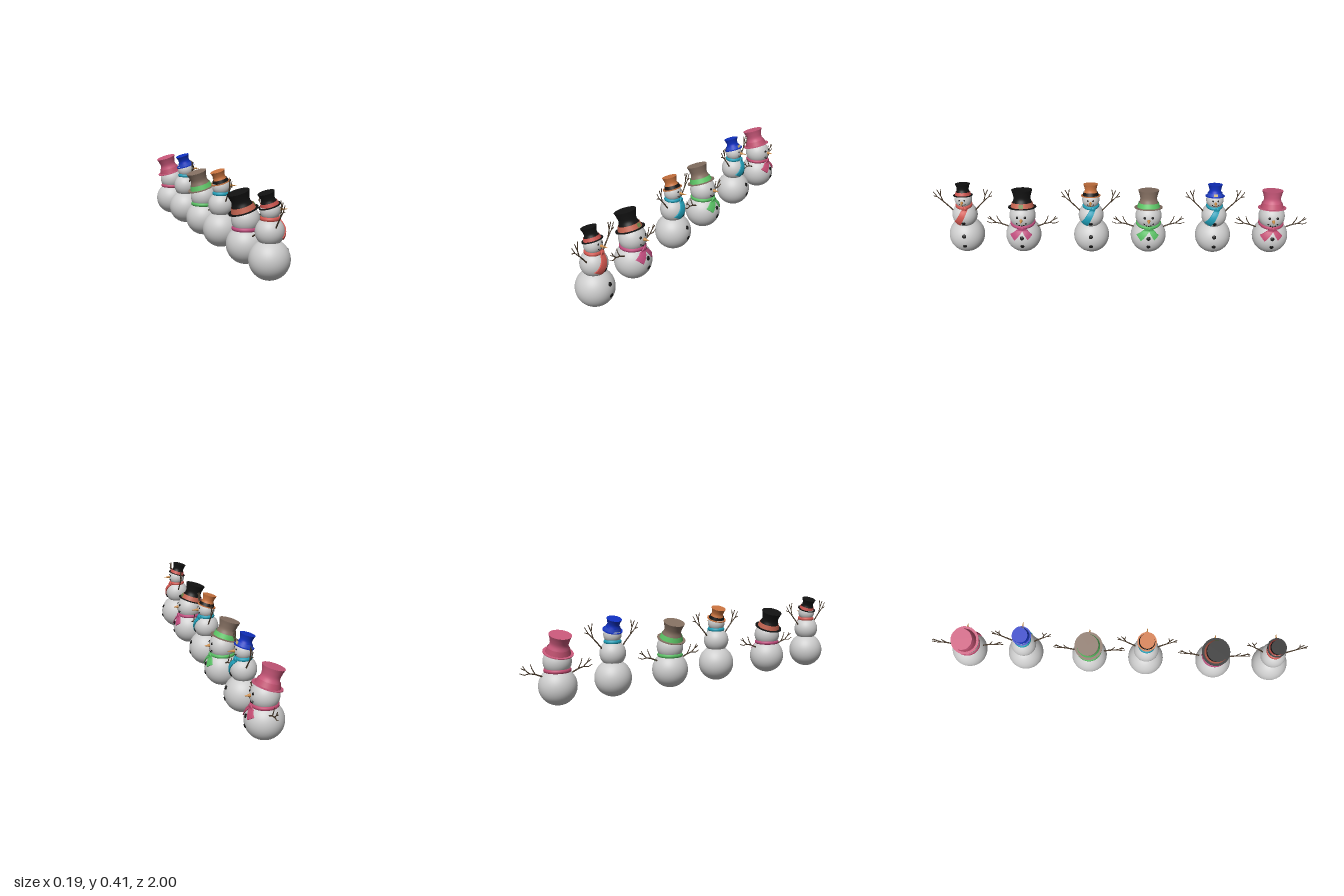
import * as THREE from 'three';

const V = (x, y, z = 0) => new THREE.Vector3(x, y, z);
const mat = (color, extra = {}) => new THREE.MeshStandardMaterial({ color, ...extra });
const snow = mat(0xcccccc), coal = mat(0x151515), bark = mat(0x4a3b2c), carrot = mat(0xc98a45);

function add(parent, name, geo, material, pos = V(0, 0)) {
  const m = new THREE.Mesh(geo, material);
  m.name = name;
  m.position.copy(pos);
  parent.add(m);
  return m;
}

// Tapered twig between two points
function twig(parent, a, b, r0, r1) {
  const d = b.clone().sub(a);
  const m = add(parent, 'twig', new THREE.CylinderGeometry(r1, r0, d.length(), 7), bark, a.clone().add(b).multiplyScalar(0.5));
  m.quaternion.setFromUnitVectors(V(0, 1), d.normalize());
}

// Front depth of the stacked balls at (x, y)
const depth = (balls, x, y) => Math.max(...balls.map(([cy, r]) =>
  Math.sqrt(Math.max(0, r * r - x * x - (y - cy) ** 2))));

// Flat round lump of coal lying on a ball
function lump(parent, name, balls, x, y, r, flat = 0.4) {
  const z = depth(balls, x, y);
  const ball = balls.find(([cy, br]) => Math.abs(Math.hypot(x, y - cy, z) - br) < 1e-6);
  const m = add(parent, name, new THREE.SphereGeometry(r, 14, 10), coal, V(x, y, z));
  m.scale.z = flat;
  m.quaternion.setFromUnitVectors(V(0, 0, 1), V(x, y - ball[0], z).normalize());
}

// Scarf tail: a slab swept from a to b and draped over the balls
function tail(parent, balls, a, b, w0, w1, color) {
  const geo = new THREE.BoxGeometry(1, 1, 1, 6, 14, 1);
  const p = geo.attributes.position;
  const dir = new THREE.Vector2(b[0] - a[0], b[1] - a[1]).normalize();
  for (let i = 0; i < p.count; i++) {
    const t = 0.5 - p.getY(i), s = p.getX(i) * (w0 + (w1 - w0) * t);
    const x = a[0] + (b[0] - a[0]) * t - dir.y * s;
    const y = a[1] + (b[1] - a[1]) * t + dir.x * s;
    p.setXYZ(i, x, y, depth(balls, x, y) + 0.003 + p.getZ(i) * 0.006);
  }
  geo.computeVertexNormals();
  add(parent, 'scarfTail', geo, mat(color, { side: THREE.DoubleSide }));
}

// Flared top hat tilted backwards, resting on its brim
function hat(parent, s, c) {
  const g = new THREE.Group();
  g.name = 'hat';
  g.position.copy(s.hatPos);
  g.rotation.x = -0.3;
  parent.add(g);
  const { brim, base, waist, top, height: h } = s.hat;
  const side = new THREE.CatmullRomCurve3([V(base, 0), V((base + waist) / 2, h * 0.25), V(waist, h * 0.5), V((waist + top) / 2 - 0.001, h * 0.78), V(top, h)])
    .getPoints(16).map(p => new THREE.Vector2(p.x, p.y));
  add(g, 'hatCrown', new THREE.LatheGeometry(side, 40), mat(c.hat, { side: THREE.DoubleSide }));
  const lid = add(g, 'hatTop', new THREE.CircleGeometry(top, 40), mat(c.hat), V(0, h));
  lid.rotation.x = -Math.PI / 2;
  add(g, 'hatBrim', new THREE.CylinderGeometry(brim, brim, 0.004, 40), mat(c.brim));
  const bandTop = h * 0.27;
  add(g, 'hatBand', new THREE.CylinderGeometry((base + waist) / 2 + 0.002, base + 0.002, bandTop, 40, 1, true),
    mat(c.band, { side: THREE.DoubleSide }), V(0, bandTop / 2 + 0.002));
  if (c.buckle) {
    const b = add(g, 'hatBuckle', new THREE.BoxGeometry(0.022, bandTop * 0.8, 0.003), mat(c.buckle), V(0, bandTop / 2 + 0.002, base));
    b.rotation.x = -0.25;
  }
}

const TALL = {
  balls: [[0.095, 0.095], [0.222, 0.067], [0.317, 0.046]],
  neck: { y: 0.281, R: 0.034, r: 0.011 },
  tails: [[[0.015, 0.283], [-0.036, 0.192], 0.026, 0.036], [[0.012, 0.28], [-0.012, 0.235], 0.02, 0.026]],
  knot: V(0.012, 0.28, 0.044),
  buttons: [0.075, 0.133, 0.2],
  nose: [0.319, 0.04, 0.0075],
  hatPos: V(0, 0.339, -0.002),
  hat: { brim: 0.051, base: 0.041, waist: 0.031, top: 0.039, height: 0.062 },
  arm: [[[0.055, 0.245], [0.085, 0.28], [0.108, 0.305], [0.118, 0.34], [0.112, 0.38]],
    [[0.108, 0.305], [0.135, 0.332], [0.155, 0.365]],
    [[0.118, 0.34], [0.134, 0.375]], [[0.135, 0.332], [0.155, 0.338]]],
};
const SHORT = {
  balls: [[0.095, 0.095], [0.217, 0.07]],
  neck: { y: 0.174, R: 0.057, r: 0.011 },
  tails: [[[0.004, 0.175], [-0.052, 0.122], 0.018, 0.034], [[0.004, 0.175], [0.042, 0.126], 0.018, 0.03]],
  knot: V(0.003, 0.172, 0.068),
  buttons: [0.075, 0.125],
  nose: [0.223, 0.03, 0.009],
  hatPos: V(0, 0.261, -0.012),
  hat: { brim: 0.075, base: 0.06, waist: 0.045, top: 0.056, height: 0.094 },
  arm: [[[0.08, 0.15], [0.115, 0.165], [0.145, 0.172], [0.165, 0.19], [0.178, 0.212]],
    [[0.145, 0.172], [0.172, 0.168], [0.195, 0.178]],
    [[0.165, 0.19], [0.188, 0.202]], [[0.115, 0.165], [0.132, 0.195], [0.138, 0.215]]],
};

// One snowman facing +z
function snowman(s, c) {
  const g = new THREE.Group();
  g.name = 'snowman';
  s.balls.forEach(([y, r], i) => add(g, i === s.balls.length - 1 ? 'head' : 'bodyBall',
    new THREE.SphereGeometry(r, 48, 32), snow, V(0, y)));
  s.buttons.forEach(y => lump(g, 'button', s.balls, 0, y, 0.011));

  // Face
  const [hy, hr] = s.balls.at(-1);
  for (const side of [-1, 1]) lump(g, 'eye', s.balls, side * hr * 0.3, hy + hr * 0.3, hr * 0.1, 0.6);
  for (let i = -2; i <= 2; i++) lump(g, 'mouthCoal', s.balls, i * hr * 0.17, hy - hr * (0.42 - 0.05 * i * i), hr * 0.065, 0.6);
  const [ny, len, nr] = s.nose;
  const profile = [[0, -0.2], [1, -0.15], [0.9, 0.15], [0.5, 0.45], [0.3, 0.75], [0, 1]]
    .map(([r, t]) => new THREE.Vector2(r * nr, t * len));
  add(g, 'nose', new THREE.LatheGeometry(profile, 16), carrot, V(0, ny, hr - 0.001)).rotation.x = Math.PI / 2;

  // Scarf ring, knot and tails
  const { y, R, r } = s.neck;
  const ring = add(g, 'scarf', new THREE.TorusGeometry(R, r, 12, 48), mat(c.scarf), V(0, y));
  ring.rotation.x = Math.PI / 2;
  add(g, 'scarfKnot', new THREE.SphereGeometry(0.012, 16, 12), mat(c.scarf), s.knot).scale.set(1, 1, 0.6);
  const draped = [...s.balls, [y, R + r]];
  s.tails.forEach(t => tail(g, draped, ...t, c.scarf));

  // Branching stick arms on both sides
  for (const side of [-1, 1]) {
    const arm = new THREE.Group();
    arm.name = side > 0 ? 'leftArm' : 'rightArm';
    g.add(arm);
    s.arm.forEach((path, b) => {
      for (let i = 0; i + 1 < path.length; i++) {
        const w = (b ? 0.0028 : 0.004) - i * 0.0005;
        twig(arm, V(side * path[i][0], path[i][1], 0.005), V(side * path[i + 1][0], path[i + 1][1], 0.005), w, w - 0.0006);
      }
    });
  }
  hat(g, s, c);
  return g;
}

export function createModel() {
  const root = new THREE.Group();
  root.name = 'snowmanRow';
  const row = [
    [TALL, 0.845, { hat: 0x121212, brim: 0x121212, band: 0xc9524c, scarf: 0xd0564f }],
    [SHORT, 0.537, { hat: 0x121212, brim: 0x121212, band: 0xc4634f, scarf: 0xbd4a7b, buckle: 0x6f8a4a }],
    [TALL, 0.168, { hat: 0xc9733f, brim: 0xc9733f, band: 0x121212, scarf: 0x1f9cb5 }],
    [SHORT, -0.14, { hat: 0x857062, brim: 0x857062, band: 0x5cc465, scarf: 0x55bb60 }],
    [TALL, -0.49, { hat: 0x1030c0, brim: 0x1030c0, band: 0x2444c8, scarf: 0x1f9cb5, buckle: 0xc8b070 }],
    [SHORT, -0.8, { hat: 0xc9587a, brim: 0xc9587a, band: 0xc0506f, scarf: 0xc04a70 }],
  ];
  for (const [shape, z, colors] of row) {
    const man = snowman(shape, colors);
    man.rotation.y = Math.PI / 2;
    man.position.set(-0.002, 0, z);
    root.add(man);
  }
  return root;
}
